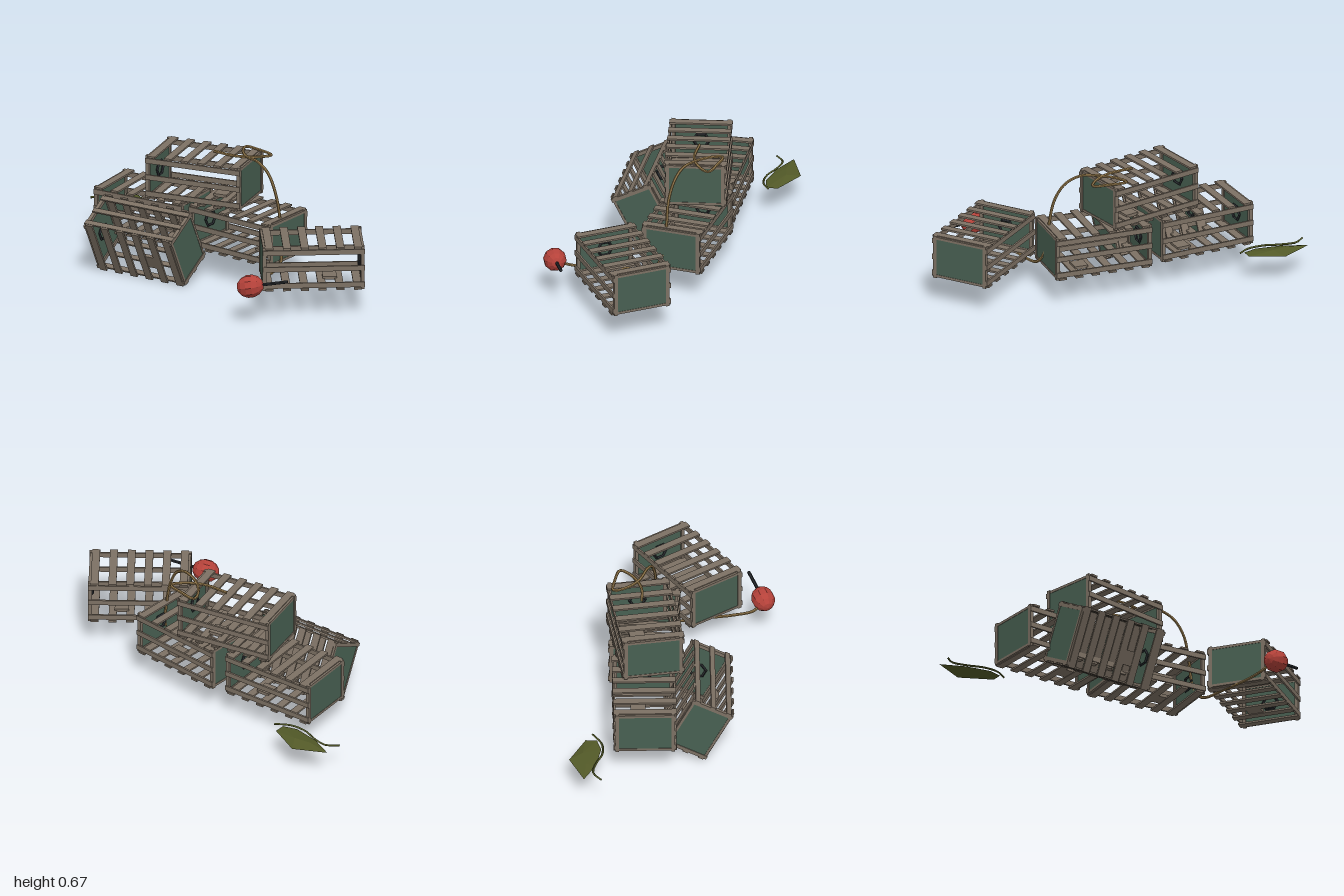
import * as THREE from 'three';
import { ConvexGeometry } from 'three/addons/geometries/ConvexGeometry.js';

const mat = (name, color) => {
  const m = new THREE.MeshStandardMaterial({ color, flatShading: true });
  m.name = name;
  return m;
};
const V = (x, y, z) => new THREE.Vector3(x, y, z);

export function createModel() {
  const wood = mat('weathered wood', 0x7d7164);
  const net = mat('green netting', 0x486052);
  const ropeMat = mat('rope tan', 0x94794c);
  const red = mat('buoy red', 0xb5423a);
  const black = mat('black', 0x25282c);
  const olive = mat('seaweed olive', 0x535a28);
  net.side = THREE.DoubleSide;

  const model = new THREE.Group();
  model.name = 'trapPile';

  const add = (parent, name, geometry, material, x = 0, y = 0, z = 0) => {
    const mesh = new THREE.Mesh(geometry, material);
    mesh.name = name;
    mesh.position.set(x, y, z);
    parent.add(mesh);
    return mesh;
  };
  const box = (w, h, d) => new THREE.BoxGeometry(w, h, d);

  // Shared trap pieces
  const crossSlat = box(0.042, 0.01, 0.335);
  const sideSlat = box(0.54, 0.028, 0.01);
  const post = box(0.02, 0.24, 0.02);
  const rail = box(0.012, 0.014, 0.3);
  const panel = box(0.008, 0.215, 0.3);
  const ring = new THREE.TorusGeometry(0.042, 0.008, 4, 6);
  const weight = box(0.075, 0.018, 0.08);

  function trap(name, x, y, z, yaw, tilt = 0) {
    const g = new THREE.Group();
    g.name = name;
    // Top and bottom cross slats
    for (const s of [-1, 1]) {
      for (let i = 0; i < 6; i++) {
        add(g, 'crossSlat', crossSlat, wood, -0.235 + i * 0.094, s * 0.115, 0);
      }
      // Long side slats
      for (const h of [-0.092, 0, 0.092]) add(g, 'sideSlat', sideSlat, wood, 0, h, s * 0.16);
      // Netted ends with posts, rails and an entrance ring inside
      add(g, 'endPanel', panel, net, s * 0.262, 0, 0);
      for (const t of [-1, 1]) {
        add(g, 'cornerPost', post, wood, s * 0.26, 0, t * 0.148);
        add(g, 'endRail', rail, wood, s * 0.262, t * 0.108, 0);
      }
      add(g, 'entranceRing', ring, black, s * 0.251, 0, 0).rotation.y = Math.PI / 2;
    }
    add(g, 'weight', weight, wood, 0.094, -0.108, -0.03);
    g.position.set(x, y, z);
    g.rotation.order = 'YXZ';
    g.rotation.set(THREE.MathUtils.degToRad(tilt), THREE.MathUtils.degToRad(yaw), 0);
    model.add(g);
  }

  trap('leftTrap', -0.46, 0.275, -0.138, 3.5);
  trap('middleTrap', 0.13, 0.275, -0.16, -3.5);
  trap('topTrap', -0.14, 0.528, -0.145, 11.8);
  trap('rightTrap', 0.675, 0.275, 0.045, 37.5);
  trap('tiltedTrap', -0.325, 0.205, 0.145, 3.2, -62.5);

  // Rope: loose coil on the top trap, over the edge, out to the buoy
  const path = [
    [-0.09, 0.66, -0.165], [0.05, 0.657, -0.175], [0.15, 0.657, -0.23], [0.19, 0.657, -0.29],
    [0.1, 0.66, -0.315], [0.01, 0.66, -0.32], [0.03, 0.66, -0.26], [0.1, 0.66, -0.19],
    [0.2, 0.662, -0.15], [0.28, 0.62, -0.127], [0.335, 0.53, -0.112], [0.365, 0.4, -0.11],
    [0.385, 0.24, -0.1], [0.41, 0.165, -0.05], [0.45, 0.157, 0.12], [0.485, 0.158, 0.3],
    [0.505, 0.172, 0.4], [0.53, 0.2, 0.44],
  ].map((p) => V(...p));
  const curve = new THREE.CatmullRomCurve3(path);
  add(model, 'rope', new THREE.TubeGeometry(curve, 110, 0.008, 6), ropeMat);

  // Buoy with its stick
  const buoy = new THREE.Group();
  buoy.name = 'buoy';
  const ball = new THREE.SphereGeometry(0.062, 10, 7);
  ball.scale(1, 1.17, 1);
  add(buoy, 'float', ball, red);
  add(buoy, 'stick', new THREE.CylinderGeometry(0.009, 0.009, 0.17, 6), black, 0, 0.12, 0);
  buoy.position.set(0.555, 0.217, 0.45);
  buoy.quaternion.setFromUnitVectors(V(0, 1, 0), V(0.9, 0.18, -0.41).normalize());
  model.add(buoy);

  // Seaweed: a flat faceted clump and a trailing frond
  const clump = [
    [-0.99, 0.16, -0.435], [-0.82, 0.158, -0.52], [-0.645, 0.158, -0.44], [-0.645, 0.157, -0.38],
    [-0.72, 0.156, -0.355], [-0.86, 0.156, -0.375], [-0.78, 0.175, -0.45], [-0.87, 0.172, -0.43],
  ].map((p) => V(...p));
  add(model, 'seaweedClump', new ConvexGeometry(clump), olive);
  const frond = new THREE.CatmullRomCurve3([
    V(-0.998, 0.162, -0.34), V(-0.94, 0.165, -0.388), V(-0.85, 0.164, -0.375),
    V(-0.77, 0.162, -0.347), V(-0.68, 0.163, -0.353), V(-0.605, 0.168, -0.405),
  ]);
  add(model, 'seaweedFrond', new THREE.TubeGeometry(frond, 16, 0.006, 4), olive);

  return model;
}
